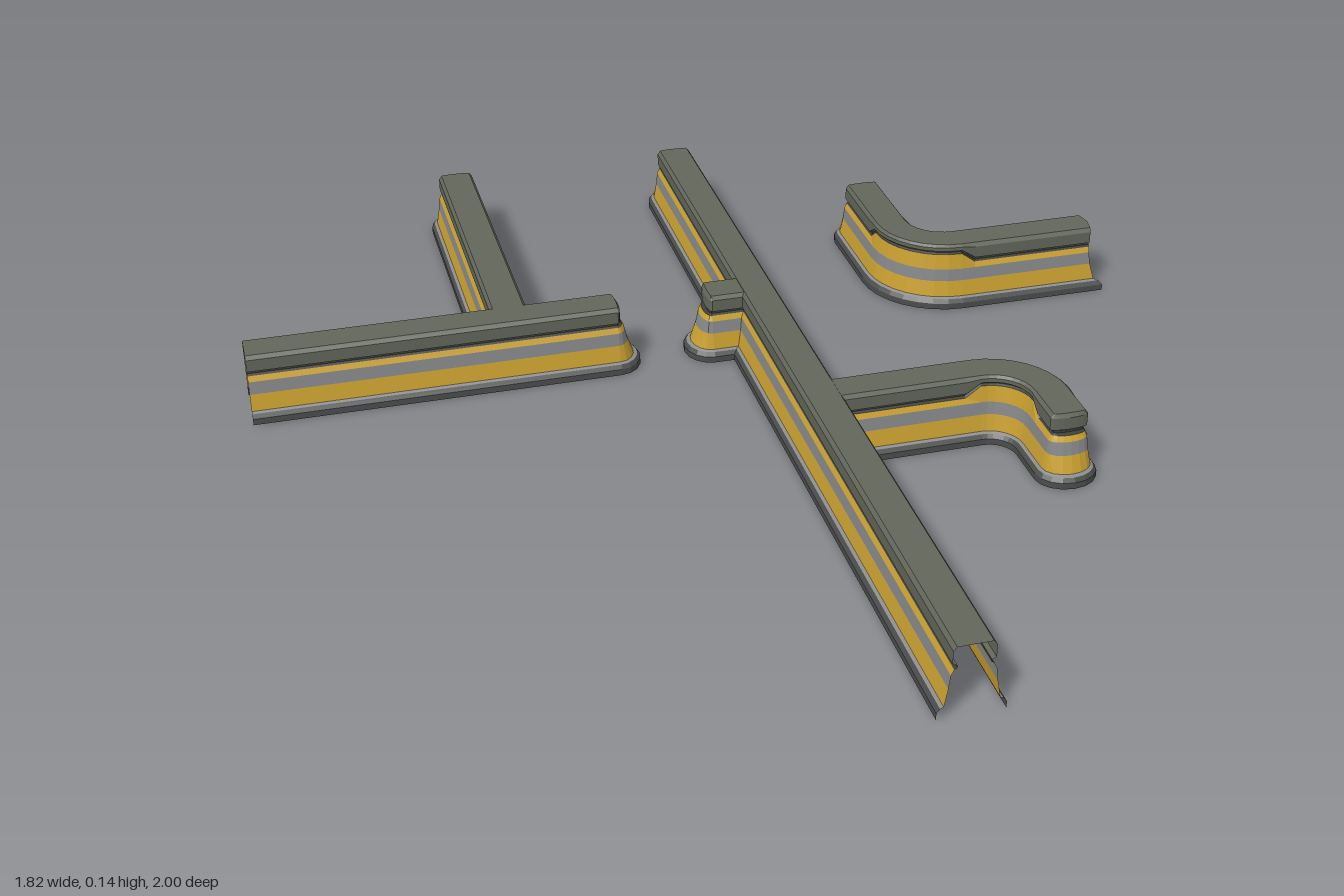
import * as THREE from 'three';

// Half cross-section, bottom to top, in coloured bands.
// Each point: [half width, height, length of the rounded end, extra height in a bend]
const BANDS = [
  ['baseFlange', 0x4b4d4c, [[0.06, 0, 0.05, 0], [0.06, 0.013, 0.05, 0], [0.054, 0.021, 0.044, 0]]],
  ['flangeTop', 0x8c8c8c, [[0.054, 0.021, 0.044, 0], [0.048, 0.024, 0.036, 0]]],
  ['lowerStripe', 0xc9a030, [[0.048, 0.024, 0.036, 0], [0.042, 0.058, 0.024, 0]]],
  ['middleBand', 0x868789, [[0.042, 0.058, 0.024, 0], [0.039, 0.084, 0.018, 0]]],
  ['upperStripe', 0xc9a030, [[0.039, 0.084, 0.018, 0], [0.034, 0.095, 0.012, 0.022]]],
  ['neck', 0x3c3e3a, [[0.034, 0.095, 0.012, 0.022], [0.029, 0.098, 0.004, 0.022], [0.029, 0.103, 0.004, 0.021]]],
  ['topRail', 0x62665a, [[0.029, 0.103, 0.004, 0.021], [0.037, 0.106, 0.008, 0.02],
    [0.037, 0.131, 0.008, 0.003], [0.031, 0.139, 0.003, 0], [0, 0.139, 0, 0]]],
];
const BEND_RADIUS = 0.11;

// Stations along a straight wall, or one with a single rounded corner: position, direction, lift
function makeStations(points) {
  const v = points.map(([x, z]) => new THREE.Vector2(x, z));
  const d0 = v[1].clone().sub(v[0]).normalize();
  const at = (p, d, lift) => ({ p, d, lift });
  if (v.length === 2) return [at(v[0], d0, 0), at(v[1], d0, 0)];
  const d1 = v[2].clone().sub(v[1]).normalize();
  const along = (d, s) => v[1].clone().addScaledVector(d, s);
  const list = [at(v[0], d0, 0), at(along(d0, -BEND_RADIUS - 0.03), d0, 0)];
  for (let i = 0; i <= 8; i++) {
    const a = (i / 8) * Math.PI / 2;
    const p = along(d0, BEND_RADIUS * (Math.sin(a) - 1))
      .addScaledVector(d1, BEND_RADIUS * (1 - Math.cos(a)));
    const d = d0.clone().multiplyScalar(Math.cos(a)).addScaledVector(d1, Math.sin(a));
    list.push(at(p, d, 1));
  }
  list.push(at(along(d1, BEND_RADIUS + 0.03), d1, 0), at(v[2], d1, 0));
  return list;
}

// Outline of one profile point: up one side, around the rounded end, back down the other
function outline(stations, [w, y, len, rise], startCut) {
  const side = (s, sign, first) => {
    const shift = first ? startCut(w) : 0;
    return new THREE.Vector3(
      s.p.x + sign * s.d.y * w - s.d.x * shift,
      y + s.lift * rise,
      s.p.y - sign * s.d.x * w - s.d.y * shift);
  };
  const pts = stations.map((s, i) => side(s, 1, i === 0));
  const e = stations[stations.length - 1];
  for (let k = 1; k < 8; k++) {
    const a = (k / 8) * Math.PI;
    const c = Math.cos(a) * w, f = Math.sin(a) * len;
    pts.push(new THREE.Vector3(e.p.x + e.d.y * c + e.d.x * f, y, e.p.y - e.d.x * c + e.d.y * f));
  }
  for (let i = stations.length - 1; i >= 0; i--) pts.push(side(stations[i], -1, i === 0));
  return pts;
}

// Loft the outlines of a band into a hollow strip
function bandGeometry(stations, profile, startCut) {
  const rows = profile.map((q) => outline(stations, q, startCut));
  const pos = [];
  for (let i = 0; i < rows.length - 1; i++) {
    for (let j = 0; j < rows[i].length - 1; j++) {
      const a = rows[i][j], b = rows[i][j + 1], c = rows[i + 1][j + 1], d = rows[i + 1][j];
      for (const p of [a, d, c, a, c, b]) pos.push(p.x, p.y, p.z);
    }
  }
  const g = new THREE.BufferGeometry();
  g.setAttribute('position', new THREE.Float32BufferAttribute(pos, 3));
  g.computeVertexNormals();
  return g;
}

export function createModel() {
  const model = new THREE.Group();
  model.name = 'wallSections';
  const materials = {};
  const material = (color) => (materials[color] ??= new THREE.MeshStandardMaterial({
    color, flatShading: true, side: THREE.DoubleSide }));

  // A wall is open at its first point and rounded at its last
  const wall = (name, points, startCut = () => 0) => {
    const group = new THREE.Group();
    group.name = name;
    const stations = makeStations(points);
    for (const [part, color, profile] of BANDS) {
      const mesh = new THREE.Mesh(bandGeometry(stations, profile, startCut), material(color));
      mesh.name = part;
      group.add(mesh);
    }
    model.add(group);
    return group;
  };

  // Long wall and its two branches
  wall('longWall', [[0.12, 1], [0.12, -0.95]]);
  const stub = wall('stubBranch', [[0.12, -0.265], [0.02, -0.265]]);
  const bent = wall('bentBranch', [[0.12, 0.18], [0.54, 0.18], [0.54, 0.38]]);

  // Cross wall with its straight branch
  wall('crossWall', [[-0.91, -0.265], [-0.175, -0.265]]);
  const straight = wall('straightBranch', [[-0.385, -0.265], [-0.385, -0.95]]);

  // Branch rails sit a hair lower so they tuck into the through walls
  for (const b of [stub, bent, straight]) b.scale.y = 0.992;

  // Separate corner wall with a notched open end
  wall('cornerWall', [[0.88, -0.35], [0.48, -0.35], [0.48, -0.66]],
    (w) => (w > 0.04 ? (w - 0.04) * 1.4 : (0.04 - w) * 0.2));

  return model;
}
